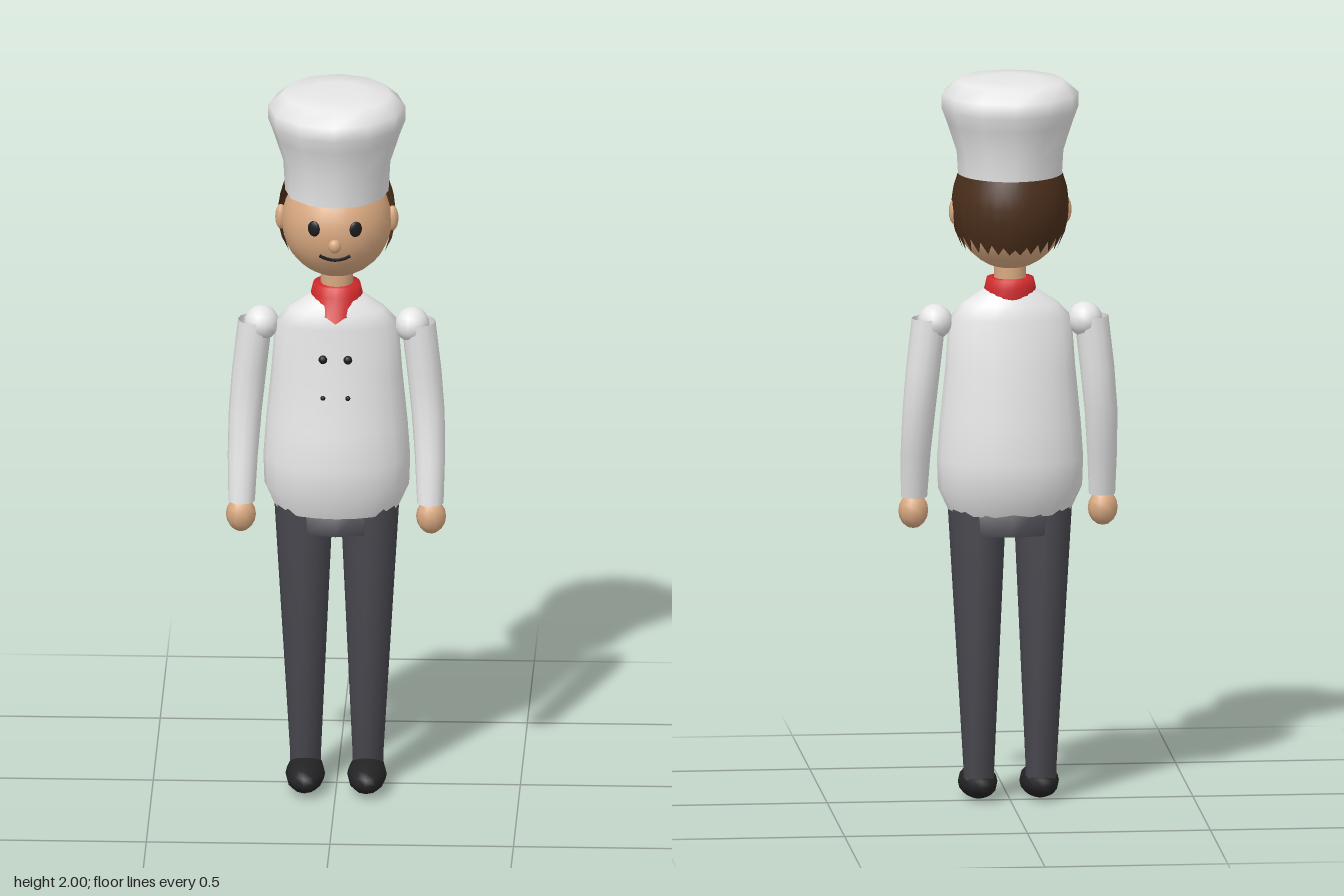
import * as THREE from 'three';

const mat = (name, color, side = THREE.FrontSide) => {
  const m = new THREE.MeshStandardMaterial({ color, side });
  m.name = name;
  return m;
};

// Skin of elliptical rings, bottom to top: [y, rx, rz, centreX, centreZ]
function loft(rings, seg = 16) {
  const pos = [], idx = [];
  rings.forEach(([y, rx, rz, cx = 0, cz = 0], r) => {
    for (let i = 0; i < seg; i++) {
      const a = (i / seg) * Math.PI * 2;
      pos.push(cx + rx * Math.sin(a), y, cz + rz * Math.cos(a));
      if (r === rings.length - 1) continue;
      const p = r * seg + i, q = r * seg + ((i + 1) % seg);
      idx.push(p, q, q + seg, p, q + seg, p + seg);
    }
  });
  return build(pos, idx);
}

function build(pos, idx) {
  const g = new THREE.BufferGeometry();
  g.setAttribute('position', new THREE.Float32BufferAttribute(pos, 3));
  g.setIndex(idx);
  g.computeVertexNormals();
  return g;
}

const HEAD = { y: 1.63, rx: 0.15, ry: 0.155, rz: 0.157 };
// Depth of the face surface at a given x, y
const faceZ = (x, y) =>
  HEAD.rz * Math.sqrt(1 - (x / HEAD.rx) ** 2 - ((y - HEAD.y) / HEAD.ry) ** 2);

// Back-of-head shell with a jagged lower edge
function hairGeometry() {
  const cols = 28, rows = 5, pos = [], idx = [];
  for (let i = 0; i <= cols; i++) {
    const a = Math.PI * (0.49 + (1.02 * i) / cols);
    const sideness = Math.abs(Math.sin(a));
    const low = 1.535 + (i % 2 ? 0 : 0.015 + 0.03 * sideness);
    for (let j = 0; j <= rows; j++) {
      const y = low + ((1.74 - low) * j) / rows;
      const k = Math.sqrt(1 - ((y - 1.65) / 0.2) ** 2);
      pos.push(0.16 * k * Math.sin(a), y, 0.172 * k * Math.cos(a));
      if (i === cols || j === rows) continue;
      const p = i * (rows + 1) + j, q = p + rows + 1;
      idx.push(p, q, q + 1, p, q + 1, p + 1);
    }
  }
  return build(pos, idx);
}

export function createModel() {
  const model = new THREE.Group();
  model.name = 'cook';
  const white = mat('white cloth', 0xe6e6e6, THREE.DoubleSide);
  const skin = mat('skin', 0xd8a880);
  const hair = mat('brown hair', 0x4a2e1a, THREE.DoubleSide);
  const red = mat('red scarf', 0xd02a2c, THREE.DoubleSide);
  const grey = mat('dark grey trousers', 0x46454c);
  const black = mat('black shoes', 0x232325);
  const dark = mat('dark details', 0x1c1c20);

  const add = (name, geo, material) => {
    const m = new THREE.Mesh(geo, material);
    m.name = name;
    model.add(m);
    return m;
  };
  const ball = (name, material, [x, y, z], [rx, ry, rz], w = 14, h = 10) => {
    const m = add(name, new THREE.SphereGeometry(1, w, h), material);
    m.position.set(x, y, z);
    m.scale.set(rx, ry, rz);
    return m;
  };

  // Hat
  add('hat', loft([
    [1.715, 0, 0], [1.715, 0.141, 0.153], [1.715, 0.141, 0.153], [1.8, 0.146, 0.155],
    [1.88, 0.172, 0.178], [1.92, 0.187, 0.194], [1.96, 0.187, 0.194],
    [1.995, 0.148, 0.155], [2, 0.08, 0.08], [2, 0, 0],
  ], 12), white);

  // Head and face
  ball('head', skin, [0, HEAD.y, 0], [HEAD.rx, HEAD.ry, HEAD.rz], 24, 16);
  add('hair', hairGeometry(), hair);
  ball('nose', skin, [0, 1.607, 0.155], [0.018, 0.02, 0.015], 10, 8);
  const smile = [-0.042, -0.025, 0, 0.025, 0.042].map((x) => {
    const y = 1.563 + 7 * x * x;
    return new THREE.Vector3(x, y, faceZ(x, y));
  });
  add('mouth', new THREE.TubeGeometry(new THREE.CatmullRomCurve3(smile), 16, 0.005, 6), dark);

  // Neck, jacket and scarf
  add('neck', loft([[1.38, 0.045, 0.045], [1.52, 0.043, 0.043]], 12), skin);
  const jacket = [
    [0.8, 0.165, 0.105, 0.095], [0.87, 0.197, 0.132, 0.132], [0.95, 0.2, 0.136, 0.136],
    [1.05, 0.193, 0.125, 0.128], [1.2, 0.178, 0.1, 0.11], [1.34, 0.168, 0.094, 0.09],
    [1.38, 0.13, 0.086, 0.076], [1.41, 0.085, 0.07, 0.062], [1.43, 0.055, 0.055, 0.05],
  ].map(([y, rx, front, back]) => [y, rx, (front + back) / 2, 0, (front - back) / 2]);
  add('jacket', loft([[0.8, 0, 0], jacket[0], ...jacket], 20), white);

  const scarf = loft([
    [1.395, 0.074, 0.074, 0, 0.006], [1.425, 0.07, 0.068], [1.45, 0.064, 0.062], [1.45, 0.04, 0.04],
  ], 20);
  const p = scarf.attributes.position;
  for (let i = 0; i < 20; i++) {
    // The lower edge falls to a point at the front
    const dip = Math.max(0, 1 - Math.min(i, 20 - i) / 4);
    p.setY(i, p.getY(i) - 0.035 * dip + (i % 2 ? 0.006 : 0));
    p.setZ(i, p.getZ(i) + 0.018 * dip);
  }
  scarf.computeVertexNormals();
  add('scarf', scarf, red);

  // Hips
  add('hips', loft([
    [0.745, 0, 0], [0.745, 0.14, 0.096], [0.745, 0.14, 0.096], [0.83, 0.155, 0.1], [0.83, 0, 0],
  ], 12), grey);

  // Mirrored parts
  for (const s of [1, -1]) {
    const side = s > 0 ? 'left' : 'right';
    const eye = ball(side + 'Eye', dark, [s * 0.057, 1.653, faceZ(0.057, 1.653)], [0.018, 0.022, 0.007]);
    eye.rotation.y = s * 0.4;
    ball(side + 'Ear', skin, [s * 0.152, 1.635, -0.004], [0.016, 0.036, 0.018], 10, 8);

    ball(side + 'UpperButton', dark, [s * 0.034, 1.26, 0.103], [0.012, 0.012, 0.01], 10, 8);
    ball(side + 'LowerButton', dark, [s * 0.034, 1.15, 0.106], [0.007, 0.007, 0.006], 8, 6);

    ball(side + 'Shoulder', white, [s * 0.205, 1.33, 0], [0.048, 0.048, 0.052]);
    add(side + 'Sleeve', loft([
      [0.835, 0, 0, s * 0.257, 0.058], [0.835, 0.036, 0.034, s * 0.257, 0.058],
      [0.835, 0.036, 0.034, s * 0.257, 0.058], [0.96, 0.041, 0.039, s * 0.255, 0.034],
      [1.08, 0.045, 0.045, s * 0.249, 0.004], [1.2, 0.047, 0.048, s * 0.238, 0],
      [1.34, 0.047, 0.05, s * 0.222, 0],
    ], 12), white);
    ball(side + 'Hand', skin, [s * 0.259, 0.797, 0.058], [0.041, 0.049, 0.04], 10, 8);

    add(side + 'Leg', loft([
      [0.06, 0.042, 0.046, s * 0.085, 0.003], [0.09, 0.042, 0.047, s * 0.085, 0.003],
      [0.82, 0.08, 0.08, s * 0.09, 0.005], [0.82, 0, 0, s * 0.09, 0.005],
    ], 12), grey);
    ball(side + 'Shoe', black, [s * 0.084, 0.046, 0.048], [0.054, 0.044, 0.113], 12, 8);
  }
  return model;
}
